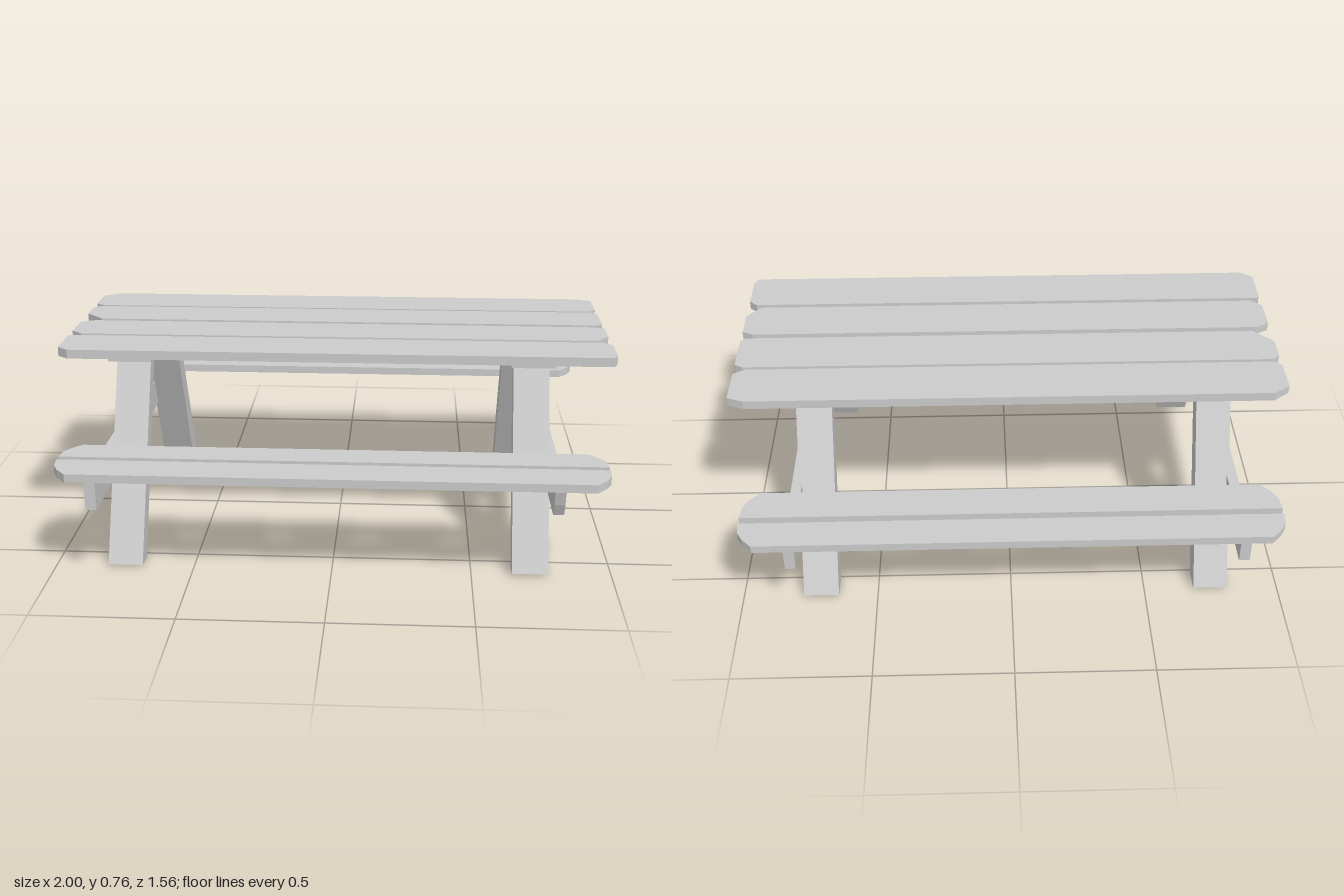
import * as THREE from 'three';

const wood = new THREE.MeshStandardMaterial({ color: 0xcccccc });
wood.name = 'grey wood';

const toShape = (pts) => new THREE.Shape(pts.map(([a, b]) => new THREE.Vector2(a, b)));
const extrude = (pts, depth) =>
  new THREE.ExtrudeGeometry(toShape(pts), { depth, bevelEnabled: false });

// Horizontal board: outline given as [x, z], between heights y0 and y1
function board(name, outline, y0, y1) {
  const g = extrude(outline.map(([x, z]) => [x, -z]), y1 - y0);
  g.rotateX(-Math.PI / 2).translate(0, y0, 0);
  const m = new THREE.Mesh(g, wood);
  m.name = name;
  return m;
}

// Upright timber: side profile given as [z, y], between x0 and x1
function timber(name, profile, x0, x1) {
  const g = extrude(profile, x1 - x0);
  g.rotateY(-Math.PI / 2).translate(x1, 0, 0);
  const m = new THREE.Mesh(g, wood);
  m.name = name;
  return m;
}

export function createModel() {
  const table = new THREE.Group();
  table.name = 'picnicTable';

  // Tabletop planks with unevenly clipped corners
  const planks = [
    [[-1, -0.355], [-0.94, -0.398], [0.94, -0.398], [1, -0.375], [1, -0.23], [0.96, -0.203], [-0.97, -0.203], [-1, -0.225]],
    [[-1, -0.165], [-0.97, -0.188], [0.97, -0.188], [1, -0.17], [1, -0.02], [0.985, 0.002], [-0.93, 0.002], [-1, -0.07]],
    [[-1, 0.055], [-0.95, 0.027], [0.96, 0.027], [1, 0.045], [1, 0.155], [0.95, 0.215], [-0.96, 0.215], [-1, 0.18]],
    [[-1, 0.25], [-0.99, 0.235], [0.97, 0.235], [1, 0.262], [1, 0.4], [0.985, 0.428], [-0.96, 0.428], [-1, 0.395]],
  ];
  planks.forEach((p, i) => table.add(board(`topPlank${i + 1}`, p, 0.727, 0.76)));

  // Bench planks: one long edge straight, the other with clipped corners
  const benchPlank = (straight, clipped) => {
    const d = clipped - straight;
    const end = [[0.965, 0], [0.96, 0.4], [0.94, 0.7], [0.905, 1]];
    const right = end.map(([x, t]) => [x, straight + d * t]);
    const left = right.map(([x, z]) => [-x, z]).reverse();
    return [...right, ...left];
  };
  [['backBenchOuter', -0.66, -0.78], ['backBenchInner', -0.632, -0.498],
    ['frontBenchInner', 0.613, 0.492], ['frontBenchOuter', 0.64, 0.777],
  ].forEach(([name, s, c]) => table.add(board(name, benchPlank(s, c), 0.392, 0.422)));

  // Splayed legs and the cleats joining them under the top
  const frontLeg = [[0.617, 0.008], [0.54, 0], [0.215, 0.703], [0.28, 0.703]];
  const backLeg = [[-0.605, 0.008], [-0.513, 0], [-0.187, 0.703], [-0.265, 0.703]];
  const cleat = [[-0.33, 0.7], [0.37, 0.7], [0.37, 0.728], [-0.33, 0.728]];
  [['right', -0.81, -0.685], ['left', 0.645, 0.775]].forEach(([side, x0, x1]) => {
    table.add(timber(side + 'FrontLeg', frontLeg, x0, x1));
    table.add(timber(side + 'BackLeg', backLeg, x0, x1));
    table.add(timber(side + 'Cleat', cleat, x0 - 0.015, x1 + 0.015));
  });

  // Bench bearers: a plain one, and one chipped along its edges
  const plain = [[0.767, 0.287], [0.767, 0.398], [-0.752, 0.398], [-0.752, 0.287]];
  const chipped = [
    [0.73, 0.29], [0.75, 0.335], [0.765, 0.39], [0.755, 0.398], [0.065, 0.398], [0.025, 0.374],
    [0.008, 0.396], [-0.752, 0.396], [-0.752, 0.287], [-0.7, 0.293], [-0.47, 0.302], [-0.26, 0.305],
    [-0.21, 0.331], [-0.16, 0.292], [-0.03, 0.289],
  ];
  table.add(timber('rightBearer', plain, -0.84, -0.802));
  table.add(timber('leftBearer', chipped, 0.765, 0.802));

  return table;
}
